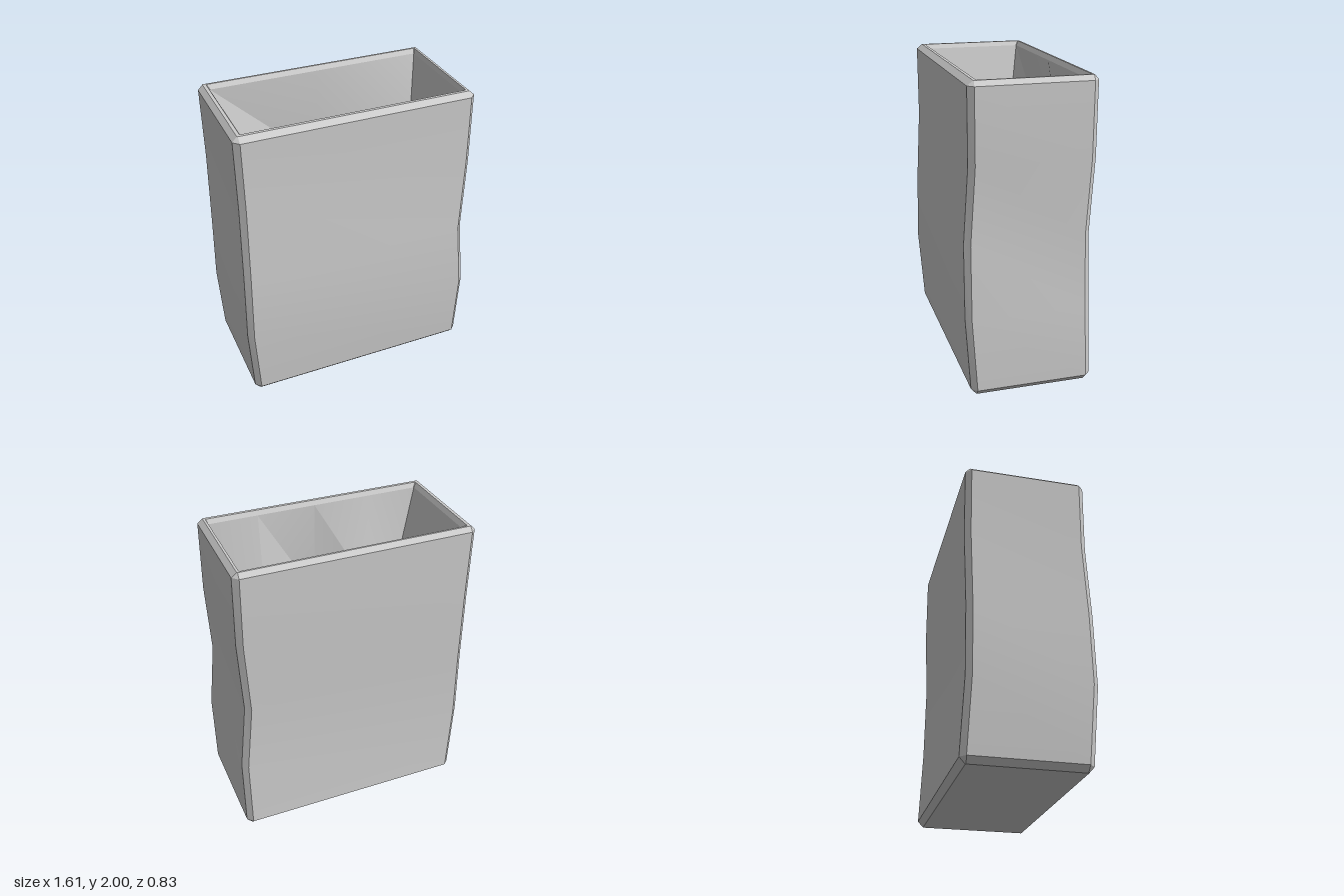
import * as THREE from 'three';
import { toCreasedNormals } from 'three/addons/utils/BufferGeometryUtils.js';

// Chamfered rectangular cross-section at height y
function section(y, x0, x1, z0, z1, c) {
  return [
    [x1, z0 + c], [x1, z1 - c], [x1 - c, z1], [x0 + c, z1],
    [x0, z1 - c], [x0, z0 + c], [x0 + c, z0], [x1 - c, z0],
  ].map(([x, z]) => new THREE.Vector3(x, y, z));
}

// Ring collapsed to one point, used to close an end
const point = (x, y, z) => Array.from({ length: 8 }, () => new THREE.Vector3(x, y, z));

// Skin a list of eight-point rings
function loft(rings, crease) {
  const pos = [];
  const tri = (...p) => {
    if (new THREE.Triangle(...p).getArea() > 1e-9) p.forEach((v) => pos.push(v.x, v.y, v.z));
  };
  for (let r = 0; r < rings.length - 1; r++) {
    for (let i = 0; i < 8; i++) {
      const j = (i + 1) % 8;
      const a = rings[r][i], b = rings[r][j], c = rings[r + 1][j], d = rings[r + 1][i];
      tri(a, d, c);
      tri(a, c, b);
    }
  }
  const geo = new THREE.BufferGeometry();
  geo.setAttribute('position', new THREE.Float32BufferAttribute(pos, 3));
  return toCreasedNormals(geo, crease);
}

export function createModel() {
  const group = new THREE.Group();
  const add = (name, geo) => {
    const mesh = new THREE.Mesh(geo, new THREE.MeshStandardMaterial({ color: 0xcccccc }));
    mesh.name = name;
    group.add(mesh);
  };

  // Buckled outer shell with bevelled base and rim
  add('bagShell', loft([
    point(0, 0, 0),
    section(0, -0.735, 0.765, -0.375, 0.35, 0.004),
    section(0.04, -0.77, 0.8, -0.412, 0.385, 0.036),
    section(0.53, -0.805, 0.8, -0.392, 0.418, 0.036),
    section(1, -0.797, 0.752, -0.395, 0.41, 0.036),
    section(1.5, -0.788, 0.78, -0.412, 0.385, 0.036),
    section(1.97, -0.795, 0.775, -0.415, 0.385, 0.036),
    section(2, -0.763, 0.742, -0.388, 0.347, 0.004),
    section(2, -0.742, 0.727, -0.375, 0.327, 0.003),
    section(1.97, -0.725, 0.717, -0.357, 0.312, 0.003),
  ], 0.4));

  // Crumpled lining running from the rim down to the inner floor
  const ring = (y, pts) => pts.map(([x, z]) => new THREE.Vector3(x, y, z));
  const rim = ring(1.97, [
    [0.717, -0.357], [0.717, 0.312], [0.39, 0.312], [0, 0.312],
    [-0.38, 0.312], [-0.725, 0.312], [-0.725, -0.357], [0, -0.357],
  ]);
  const floor = ring(1.3, [
    [0.655, -0.25], [0.655, 0.29], [0.39, 0.235], [0, 0.34],
    [-0.38, 0.235], [-0.585, 0.285], [-0.585, -0.25], [0, -0.385],
  ]);
  add('bagLining', loft([rim, floor, point(0, 1.3, 0)], 0.3));

  return group;
}
